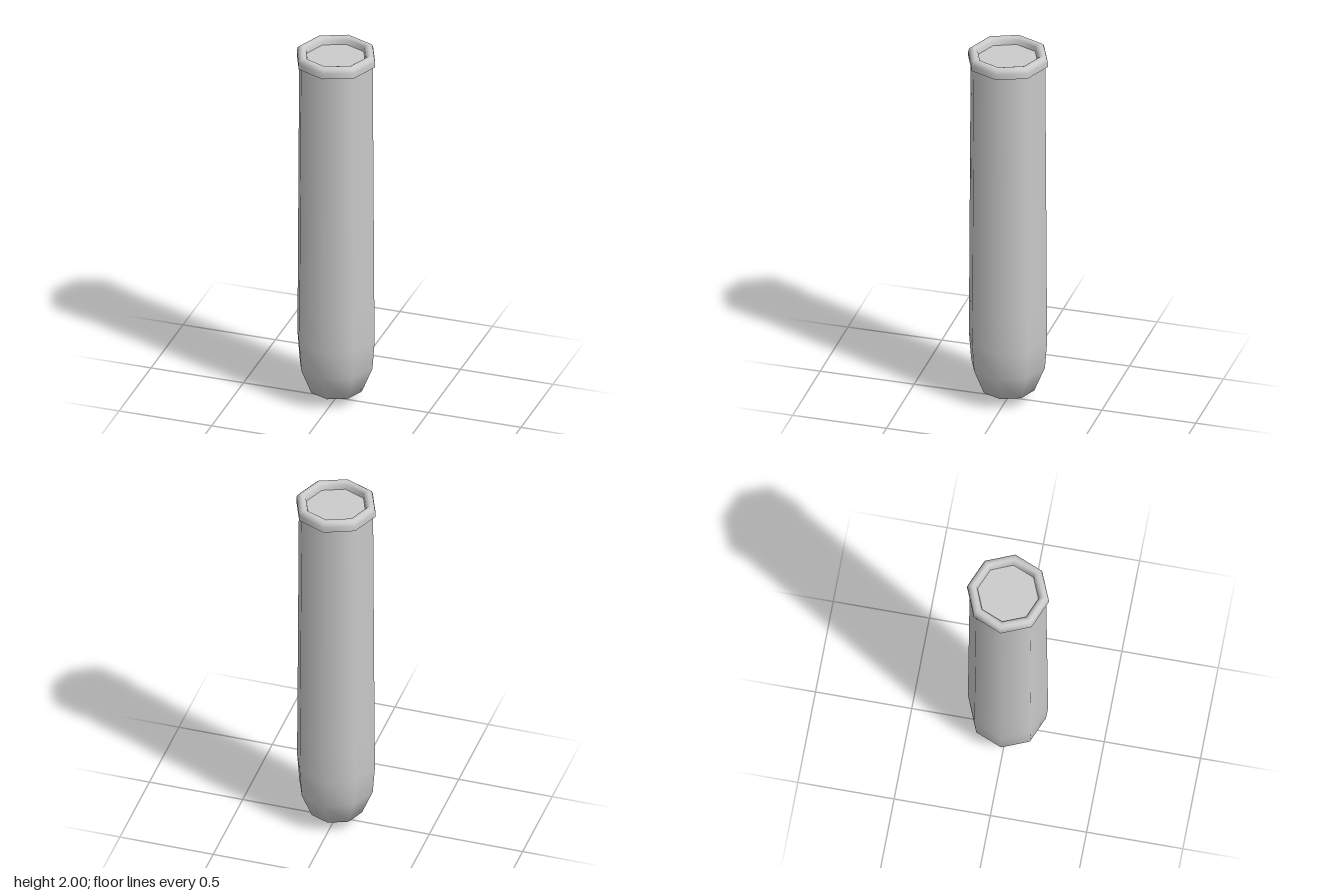
import * as THREE from 'three';

const SIDES = 8;
const material = new THREE.MeshStandardMaterial({ color: 0xcccccc });

// Eight-sided turned part from [radius, height] points, listed from bottom to top
function turned(name, profile) {
  const points = profile.map(([r, y]) => new THREE.Vector2(r, y));
  const mesh = new THREE.Mesh(new THREE.LatheGeometry(points, SIDES), material);
  mesh.name = name;
  return mesh;
}

export function createModel() {
  const group = new THREE.Group();
  group.name = 'testTube';

  // Long body with a faint swell near the rounded bottom
  group.add(turned('tubeBody', [
    [0, 0], [0.14, 0.06], [0.197, 0.2], [0.209, 0.36], [0.207, 0.56], [0.2, 1.75], [0.199, 1.95],
  ]));

  // Flat underside of the lip
  group.add(turned('lipUnderside', [[0.19, 1.943], [0.212, 1.943]]));

  // Rounded lip, rolling over the top and down inside
  group.add(turned('lip', [
    [0.212, 1.943], [0.212, 1.972], [0.207, 1.988], [0.195, 1.998], [0.183, 2],
    [0.171, 1.996], [0.162, 1.984], [0.158, 1.96],
  ]));

  // Flat surface set just below the lip
  const surface = new THREE.Mesh(new THREE.CircleGeometry(0.16, SIDES), material);
  surface.name = 'innerSurface';
  surface.rotation.x = -Math.PI / 2;
  surface.position.y = 1.961;
  group.add(surface);

  return group;
}
